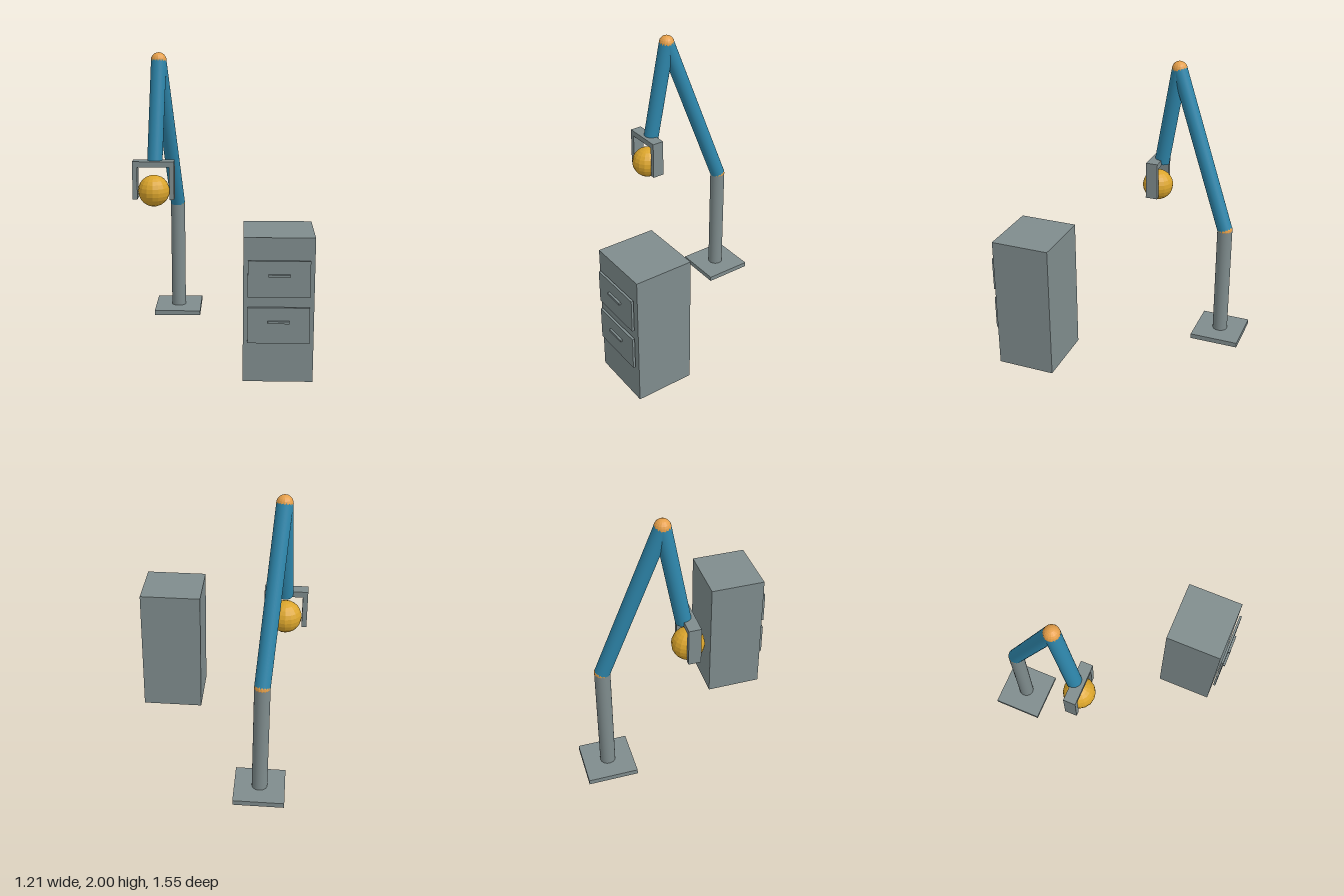
import * as THREE from 'three';

function material(name, color) {
  const m = new THREE.MeshStandardMaterial({ color });
  m.name = name;
  return m;
}

export function createModel() {
  const model = new THREE.Group();
  model.name = 'robotArmAndCabinet';

  const grey = material('steelGrey', 0x7f8c8d);
  const blue = material('armBlue', 0x2e86ab);
  const orange = material('jointOrange', 0xe59f4a);
  const gold = material('ballGold', 0xdba52c);

  const add = (name, geometry, mat, parent = model) => {
    const mesh = new THREE.Mesh(geometry, mat);
    mesh.name = name;
    parent.add(mesh);
    return mesh;
  };
  // Box given by its lower and upper corners
  const box = (name, a, b, mat, parent) => {
    const mesh = add(name, new THREE.BoxGeometry(b[0] - a[0], b[1] - a[1], b[2] - a[2]), mat, parent);
    mesh.position.set((a[0] + b[0]) / 2, (a[1] + b[1]) / 2, (a[2] + b[2]) / 2);
    return mesh;
  };
  // Cylinder between two points
  const rod = (name, a, b, radius, mat, parent) => {
    const dir = b.clone().sub(a);
    const mesh = add(name, new THREE.CylinderGeometry(radius, radius, dir.length(), 32), mat, parent);
    mesh.position.copy(a).add(b).multiplyScalar(0.5);
    mesh.quaternion.setFromUnitVectors(new THREE.Vector3(0, 1, 0), dir.normalize());
    return mesh;
  };
  // Faceted ball
  const ball = (name, center, radius, mat, parent) => {
    const g = new THREE.SphereGeometry(radius, 16, 12).toNonIndexed();
    g.computeVertexNormals();
    const mesh = add(name, g, mat, parent);
    mesh.position.copy(center);
    return mesh;
  };

  // Robot arm: base, column, two links and their joints
  const arm = new THREE.Group();
  arm.name = 'robotArm';
  model.add(arm);
  const R = 0.053;
  const foot = new THREE.Vector3(-0.338, 0.035, -0.602);
  const shoulder = new THREE.Vector3(-0.338, 0.843, -0.602);
  const elbow = new THREE.Vector3(-0.43, 1.946, -0.207);
  const wrist = new THREE.Vector3(-0.457, 1.24, -0.083);
  box('basePlate', [-0.511, 0, -0.775], [-0.165, 0.035, -0.429], grey, arm);
  rod('column', foot, shoulder, R, grey, arm);
  ball('shoulderJoint', shoulder, R + 0.001, orange, arm);
  rod('upperArm', shoulder, elbow, R, blue, arm);
  ball('elbowJoint', elbow, R + 0.001, orange, arm);
  rod('forearm', elbow, wrist, R, blue, arm);

  // Gripper: crossbar and two fingers around the ball
  const gripper = new THREE.Group();
  gripper.name = 'gripper';
  gripper.position.set(-0.463, 0, -0.053);
  arm.add(gripper);
  box('crossbar', [-0.144, 1.23, -0.042], [0.144, 1.27, 0.042], grey, gripper);
  for (const side of [-1, 1]) {
    const finger = box(side > 0 ? 'leftFinger' : 'rightFinger',
      [-0.0165, 1.003, -0.042], [0.0165, 1.23, 0.042], grey, gripper);
    finger.position.x = side * 0.1275;
  }
  ball('heldBall', new THREE.Vector3(-0.463, 1.058, -0.053), 0.11, gold, arm);

  // Cabinet with two drawer fronts standing slightly proud
  const cabinet = new THREE.Group();
  cabinet.name = 'cabinet';
  model.add(cabinet);
  box('cabinetBody', [0.162, 0, 0.331], [0.605, 0.946, 0.734], grey, cabinet);
  for (const y of [0.385, 0.687]) {
    box('drawerFront', [0.19, y - 0.117, 0.744], [0.577, y + 0.117, 0.76], grey, cabinet);
    box('drawerHandle', [0.316, y + 0.017, 0.76], [0.451, y + 0.033, 0.775], grey, cabinet);
  }
  return model;
}
